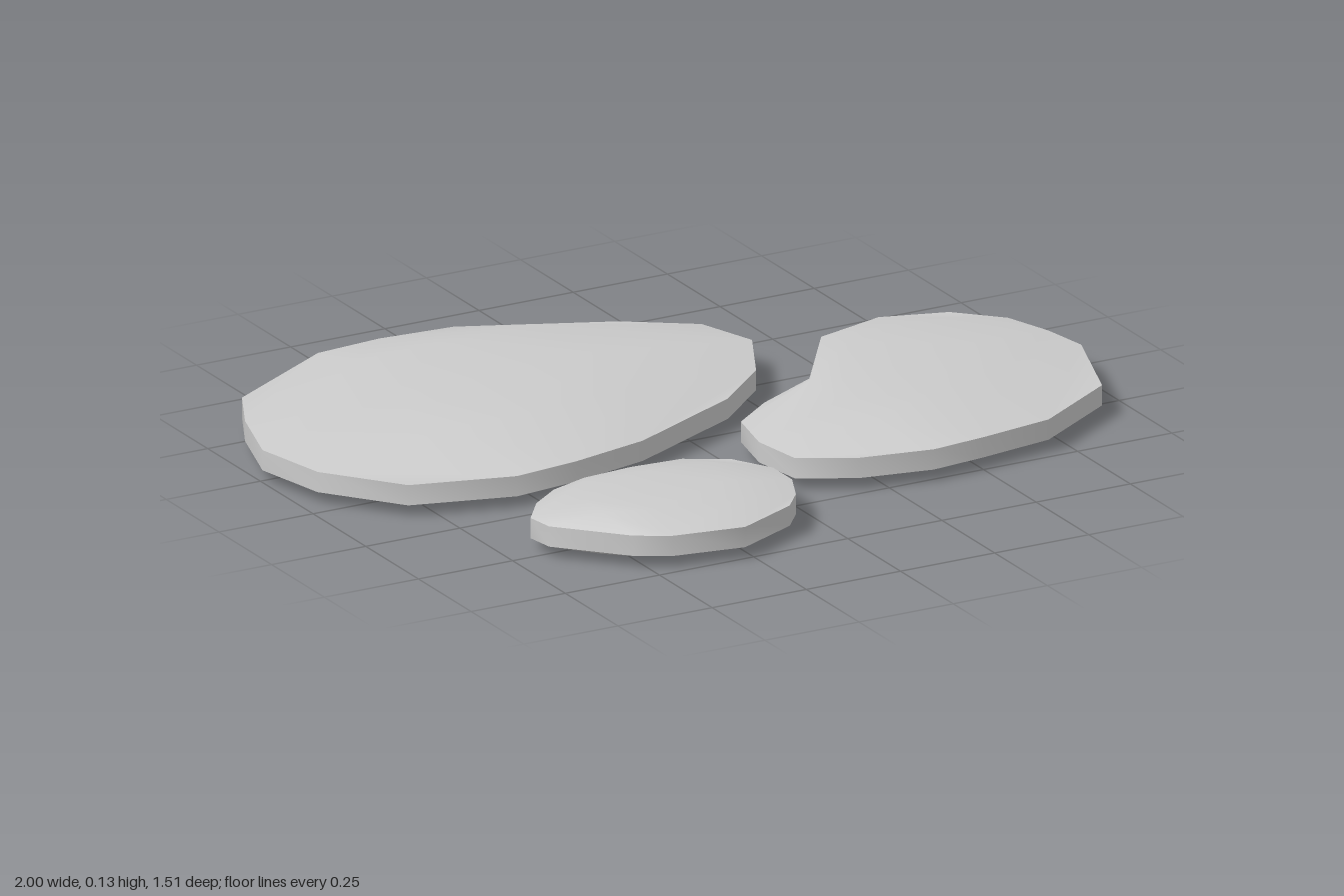
import * as THREE from 'three';

// Outlines: 16 [x, z] points each, clockwise from above, starting at the back corner on -x.
const STONES = [
  {
    name: 'largeStone', top: 0.127, bottom: 0, slope: 0,
    outline: [
      [-0.87, -0.57], [-0.57, -0.745], [-0.4, -0.76], [-0.21, -0.745],
      [0.14, -0.59], [0.3, -0.48], [0.35, -0.33], [0.26, -0.15],
      [0.11, -0.015], [-0.2, 0.135], [-0.4, 0.18], [-0.57, 0.2],
      [-0.82, 0.13], [-0.96, -0.05], [-1, -0.24], [-0.94, -0.43],
    ],
  },
  {
    name: 'kidneyStone', top: 0.122, bottom: 0.004, slope: 0.008,
    outline: [
      [0.17, 0.05], [0.34, -0.04], [0.5, -0.27], [0.68, -0.32],
      [0.84, -0.27], [0.94, -0.17], [0.98, -0.05], [1, 0.07],
      [0.91, 0.33], [0.69, 0.47], [0.5, 0.5], [0.36, 0.515],
      [0.18, 0.48], [0.05, 0.41], [0.03, 0.275], [0.06, 0.135],
    ],
  },
  {
    name: 'smallStone', top: 0.111, bottom: 0.01, slope: 0,
    outline: [
      [-0.54, 0.32], [-0.44, 0.285], [-0.31, 0.275], [-0.18, 0.285],
      [-0.08, 0.345], [-0.025, 0.44], [-0.025, 0.53], [-0.065, 0.62],
      [-0.115, 0.68], [-0.275, 0.755], [-0.45, 0.725], [-0.53, 0.68],
      [-0.6, 0.605], [-0.67, 0.53], [-0.68, 0.46], [-0.62, 0.38],
    ],
  },
];

const N = 4; // grid cells along each side of a stone
const RIM_LOW = 0.03;
const RIM_HIGH = 0.08;

// Blend the four sides of an outline into a point inside it.
function patchPoint(outline, i, j) {
  const u = i / N, v = j / N;
  const at = (k) => outline[k % 16];
  return [0, 1].map((c) => {
    const acrossZ = (1 - v) * at(i)[c] + v * at(12 - i)[c];
    const acrossX = (1 - u) * at(16 - j)[c] + u * at(4 + j)[c];
    const corners = (1 - v) * ((1 - u) * at(0)[c] + u * at(4)[c])
      + v * ((1 - u) * at(12)[c] + u * at(8)[c]);
    return acrossZ + acrossX - corners;
  });
}

function buildGeometry(positions, indices) {
  const g = new THREE.BufferGeometry();
  g.setAttribute('position', new THREE.Float32BufferAttribute(positions, 3));
  g.setIndex(indices);
  g.computeVertexNormals();
  return g;
}

// Gently raised face: rim height at the edge, plateau height inside.
function faceGeometry(outline, rimY, plateauY, up) {
  const pos = [], idx = [];
  for (let j = 0; j <= N; j++) {
    for (let i = 0; i <= N; i++) {
      const [x, z] = patchPoint(outline, i, j);
      const edge = i === 0 || j === 0 || i === N || j === N;
      pos.push(x, edge ? rimY : plateauY(i, j), z);
    }
  }
  for (let j = 0; j < N; j++) {
    for (let i = 0; i < N; i++) {
      const a = j * (N + 1) + i, b = a + N + 1, c = b + 1, d = a + 1;
      // Split corner cells across the corner so the rim stays rounded
      const quad = (i < N / 2) === (j < N / 2)
        ? [a, b, d, b, c, d]
        : [a, b, c, a, c, d];
      idx.push(...(up ? quad : quad.reverse()));
    }
  }
  return buildGeometry(pos, idx);
}

// Upright band around the rim.
function rimGeometry(outline) {
  const pos = [], idx = [];
  const n = outline.length;
  outline.forEach(([x, z], k) => {
    pos.push(x, RIM_LOW, z, x, RIM_HIGH, z);
    const a = 2 * k, b = 2 * ((k + 1) % n);
    idx.push(a, a + 1, b + 1, a, b + 1, b);
  });
  return buildGeometry(pos, idx);
}

export function createModel() {
  const model = new THREE.Group();
  model.name = 'steppingStones';
  const material = new THREE.MeshStandardMaterial({ color: 0xcccccc });

  for (const { name, outline, top, bottom, slope } of STONES) {
    const stone = new THREE.Group();
    stone.name = name;
    const parts = {
      Top: faceGeometry(outline, RIM_HIGH, (i) => top - slope * Math.max(0, i - 2), true),
      Rim: rimGeometry(outline),
      Underside: faceGeometry(outline, RIM_LOW, () => bottom, false),
    };
    for (const [part, geometry] of Object.entries(parts)) {
      const mesh = new THREE.Mesh(geometry, material);
      mesh.name = name + part;
      stone.add(mesh);
    }
    model.add(stone);
  }
  return model;
}
